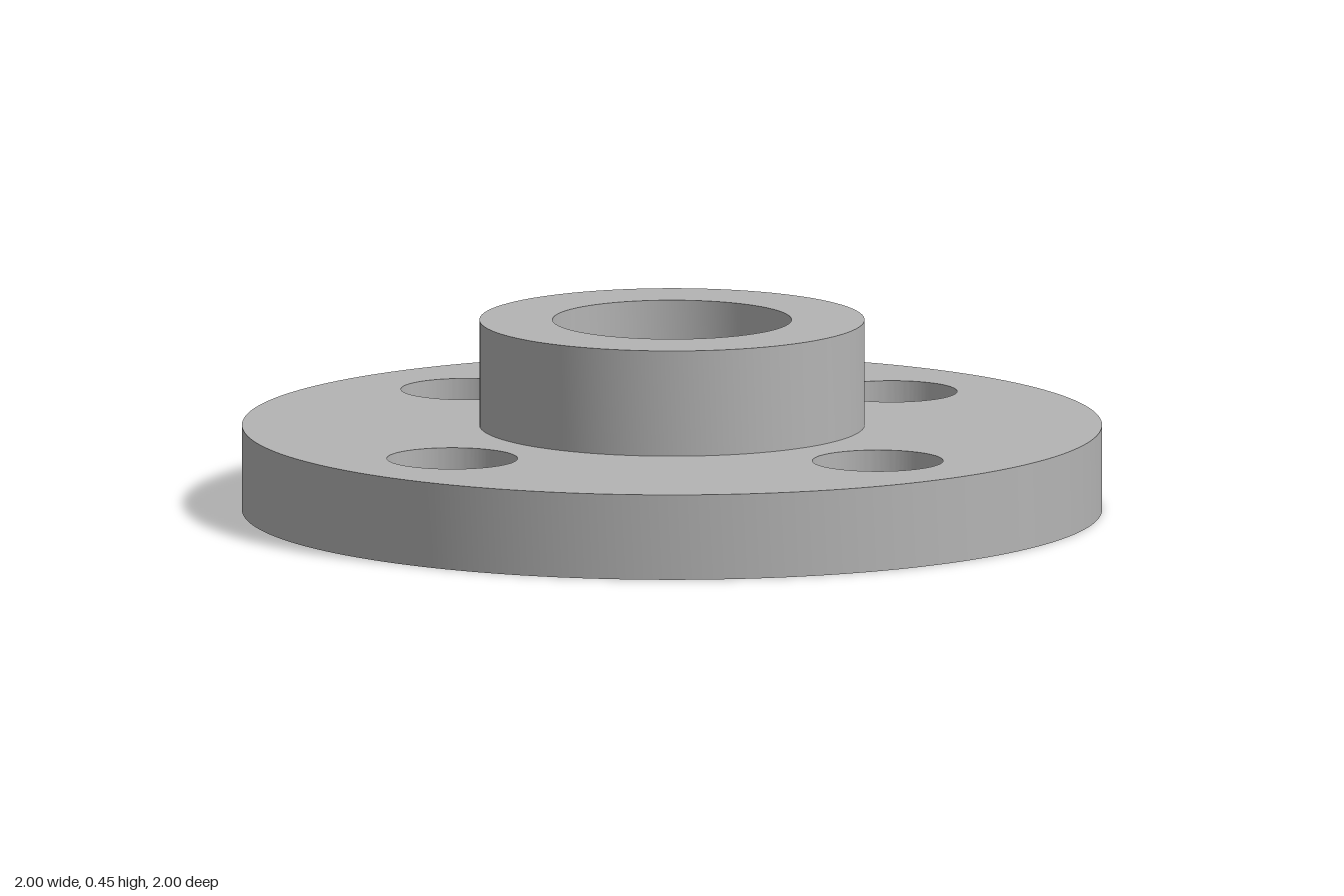
import * as THREE from 'three';
import { toCreasedNormals } from 'three/addons/utils/BufferGeometryUtils.js';

const SEGMENTS = 96;
const PLATE_RADIUS = 1, PLATE_TOP = 0.2;
const HUB_RADIUS = 0.448, HUB_TOP = 0.448;
const COUNTERBORE = 0.278, BORE = 0.178;
const BOLT_RADIUS = 0.152, BOLT_CIRCLE = 0.7;

function circle(PathType, x, y, radius) {
  const path = new PathType();
  path.absarc(x, y, radius, 0, Math.PI * 2, false);
  return path;
}

export function createModel() {
  const group = new THREE.Group();
  group.name = 'flange';
  const steel = new THREE.MeshStandardMaterial({ color: 0xb4b4b4 });
  steel.name = 'grey steel';

  // Round plate with the centre bore and four bolt holes
  const outline = circle(THREE.Shape, 0, 0, PLATE_RADIUS);
  outline.holes.push(circle(THREE.Path, 0, 0, BORE));
  for (let i = 0; i < 4; i++) {
    const a = i * Math.PI / 2;
    outline.holes.push(circle(THREE.Path, BOLT_CIRCLE * Math.cos(a), BOLT_CIRCLE * Math.sin(a), BOLT_RADIUS));
  }
  const plateGeometry = new THREE.ExtrudeGeometry(outline, {
    depth: PLATE_TOP, bevelEnabled: false, curveSegments: SEGMENTS,
  });
  plateGeometry.rotateX(-Math.PI / 2);
  const plate = new THREE.Mesh(toCreasedNormals(plateGeometry, 0.6), steel);
  plate.name = 'plate';
  group.add(plate);

  // Raised hub; the plate forms the ledge at the bottom of its wider bore
  const profile = [
    [HUB_RADIUS, PLATE_TOP], [HUB_RADIUS, HUB_TOP],
    [COUNTERBORE, HUB_TOP], [COUNTERBORE, PLATE_TOP],
  ].map(([r, y]) => new THREE.Vector2(r, y));
  const hubGeometry = new THREE.LatheGeometry(profile, SEGMENTS);
  const hub = new THREE.Mesh(toCreasedNormals(hubGeometry, 0.6), steel);
  hub.name = 'hub';
  group.add(hub);

  return group;
}
